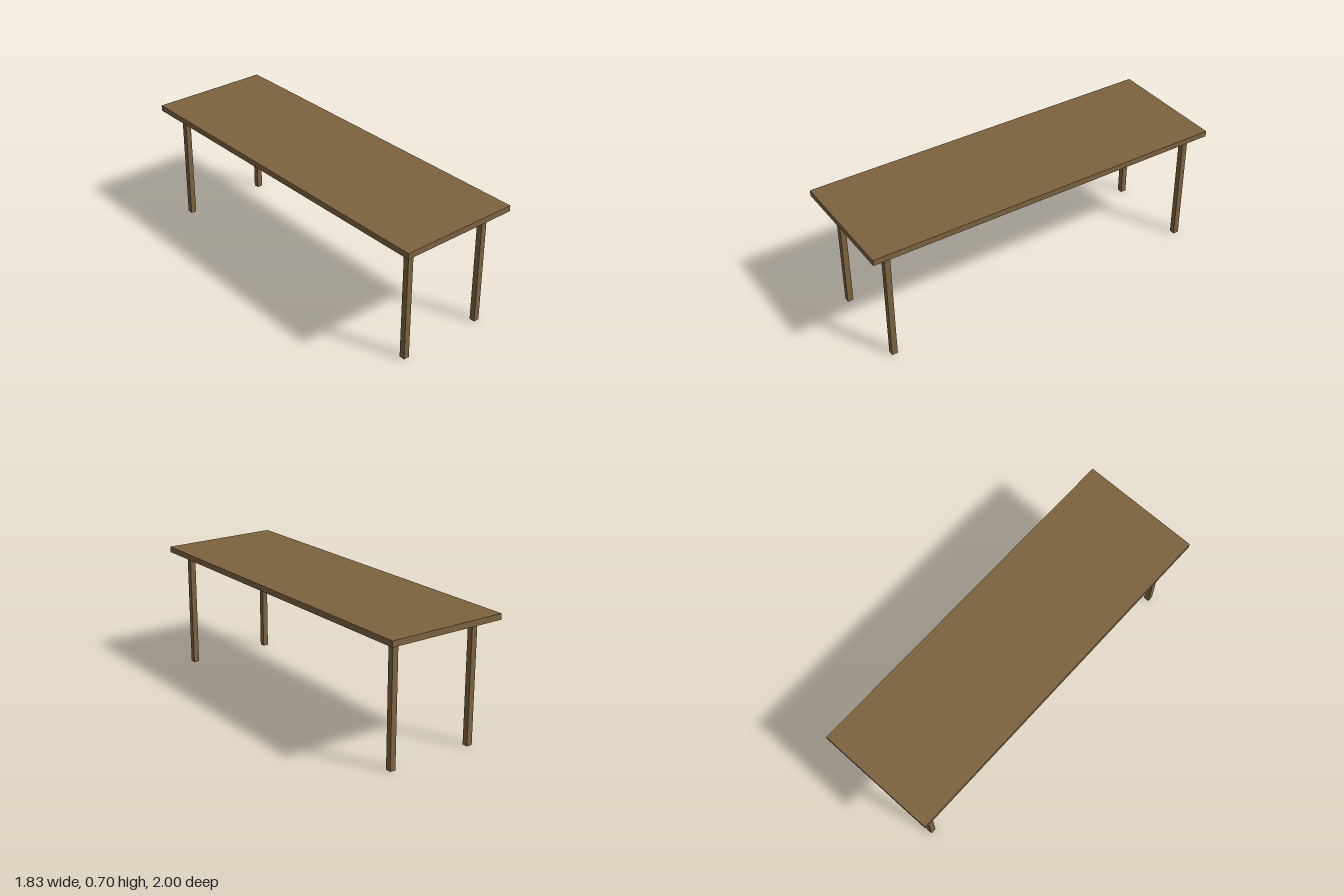
import * as THREE from 'three';

export function createModel() {
  const model = new THREE.Group();
  model.name = 'table';
  const wood = new THREE.MeshStandardMaterial({ color: 0x7d6340 });
  wood.name = 'brown wood';

  // The whole table stands turned about the vertical axis
  const table = new THREE.Group();
  table.name = 'turnedTable';
  table.rotation.y = THREE.MathUtils.degToRad(-50);
  model.add(table);

  function addBox(name, w, h, d, x, y, z) {
    const mesh = new THREE.Mesh(new THREE.BoxGeometry(w, h, d), wood);
    mesh.name = name;
    mesh.position.set(x, y, z);
    table.add(mesh);
  }

  // Long flat top
  const legHeight = 0.664, thickness = 0.032;
  addBox('tableTop', 2.038, thickness, 0.678, 0, legHeight + thickness / 2, 0);

  // Four slim square legs, set in slightly from the corners
  for (const x of [-0.931, 0.915]) {
    for (const z of [-0.26, 0.235]) {
      addBox('leg', 0.032, legHeight, 0.032, x, legHeight / 2, z);
    }
  }
  return model;
}
